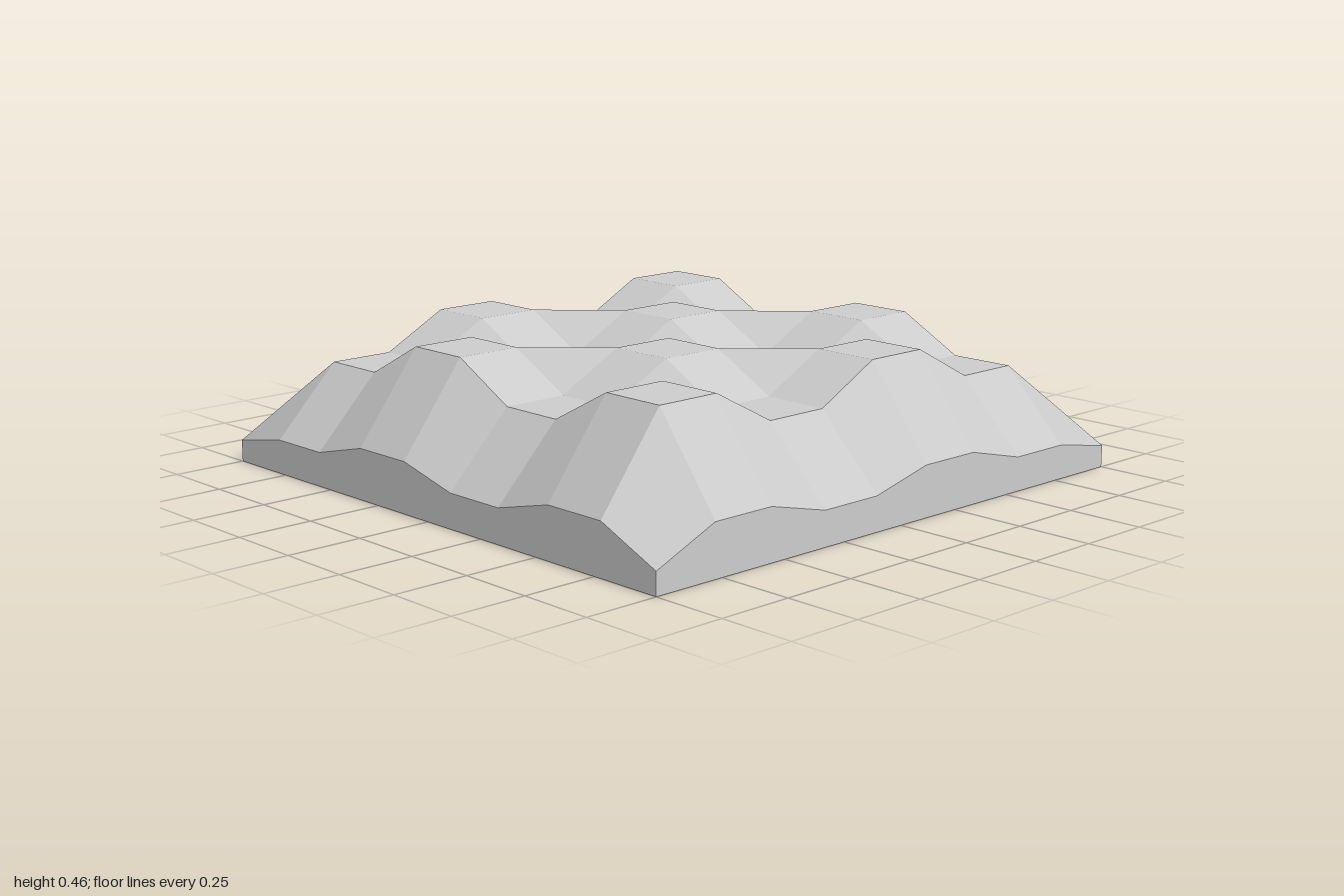
import * as THREE from 'three';

const CELLS = 9;
const coord = (i) => -1 + (2 * i) / CELLS;
const clamp = (i) => Math.min(Math.max(i, 1), CELLS - 1);

// Checkerboard of 2 x 2 point plateaus, dropping steeply at the rim
function height(i, j) {
  const onX = i === 0 || i === CELLS;
  const onZ = j === 0 || j === CELLS;
  if (onX && onZ) return 0.072;
  const block = (k) => Math.floor((clamp(k) - 1) / 2);
  const high = (block(i) + block(j)) % 2 === 0;
  if (onX || onZ) return high ? 0.166 : 0.112;
  return high ? 0.455 : 0.338;
}

const point = (i, j) => new THREE.Vector3(coord(i), height(i, j), coord(j));
const ground = (p) => new THREE.Vector3(p.x, 0, p.z);

// Quads a-b-c-d (counter-clockwise), split along b-d, one normal per quad
function quadMesh(name, quads) {
  const positions = [];
  const normals = [];
  for (const [a, b, c, d] of quads) {
    const n = c.clone().sub(a).cross(d.clone().sub(b)).normalize();
    for (const p of [a, b, d, b, c, d]) {
      positions.push(p.x, p.y, p.z);
      normals.push(n.x, n.y, n.z);
    }
  }
  const geometry = new THREE.BufferGeometry();
  geometry.setAttribute('position', new THREE.Float32BufferAttribute(positions, 3));
  geometry.setAttribute('normal', new THREE.Float32BufferAttribute(normals, 3));
  const material = new THREE.MeshStandardMaterial({ color: 0xcccccc, side: THREE.DoubleSide });
  const mesh = new THREE.Mesh(geometry, material);
  mesh.name = name;
  return mesh;
}

export function createModel() {
  const group = new THREE.Group();
  group.name = 'terrainTile';

  // Bumpy top surface
  const top = [];
  for (let j = 0; j < CELLS; j++) {
    for (let i = 0; i < CELLS; i++) {
      top.push([point(i, j), point(i, j + 1), point(i + 1, j + 1), point(i + 1, j)]);
    }
  }
  group.add(quadMesh('terrainSurface', top));

  // Upright skirts from the rim to the ground, open underneath
  const sides = {
    frontSkirt: (k) => point(k, CELLS),
    leftSkirt: (k) => point(CELLS, CELLS - k),
    backSkirt: (k) => point(CELLS - k, 0),
    rightSkirt: (k) => point(0, k),
  };
  for (const [name, rim] of Object.entries(sides)) {
    const wall = [];
    for (let k = 0; k < CELLS; k++) {
      const a = rim(k);
      const b = rim(k + 1);
      wall.push([a, ground(a), ground(b), b]);
    }
    group.add(quadMesh(name, wall));
  }
  return group;
}
